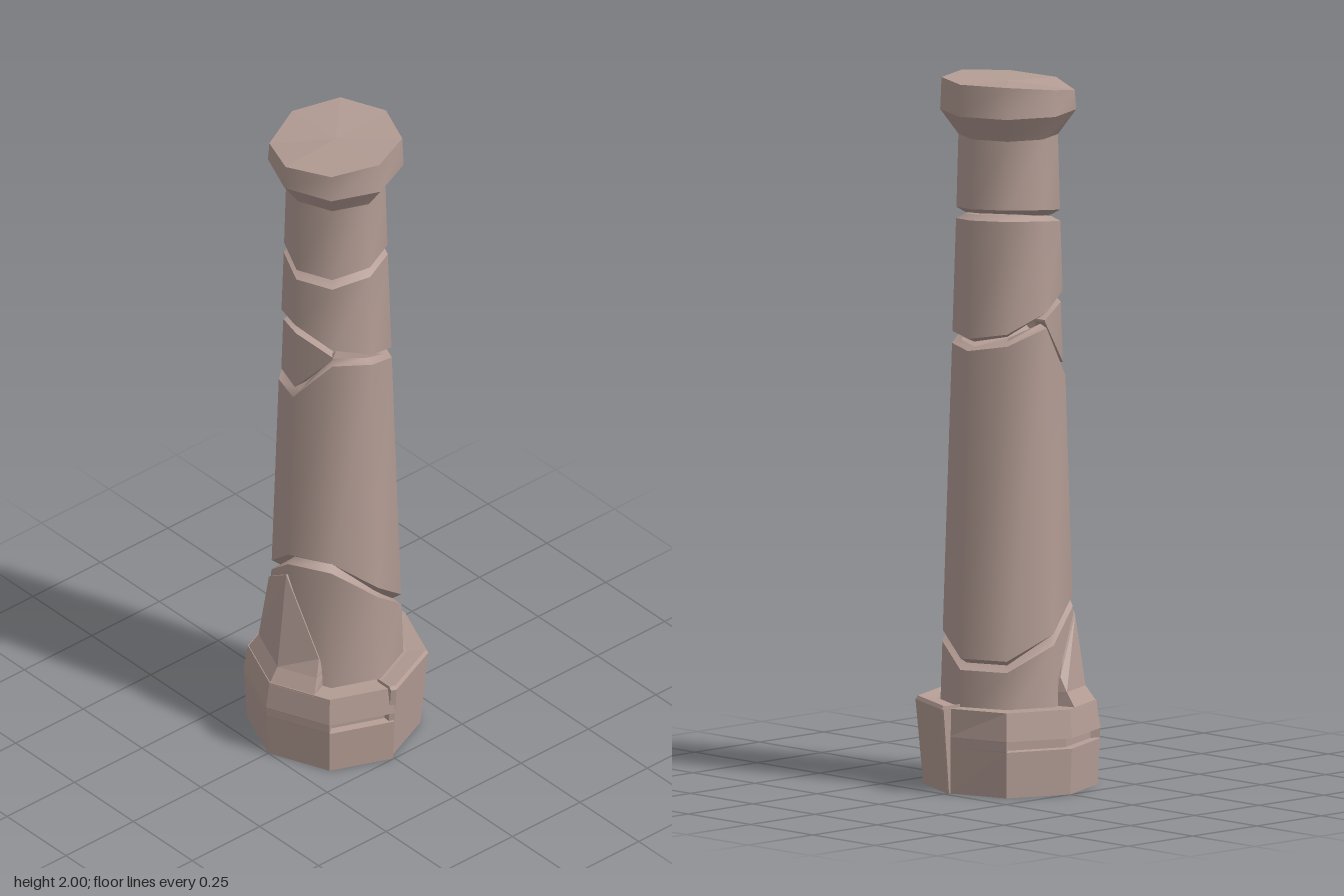
import * as THREE from 'three';
import { mergeGeometries } from 'three/addons/utils/BufferGeometryUtils.js';

const EIGHT = [0, 1, 2, 3, 4, 5, 6, 7];
const stone = new THREE.MeshStandardMaterial({ color: 0xb39c94, side: THREE.DoubleSide });
const at = (v, i) => (Array.isArray(v) ? v[i] : v);

// Points of an octagonal ring; ks are positions in eighths of a turn from +x towards +z.
function ring(r, y, ks = EIGHT) {
  return ks.map((k, i) => {
    const a = (k * Math.PI) / 4;
    const off = (k - Math.floor(k) - 0.5) * (Math.PI / 4);
    const rad = (at(r, i) * Math.cos(Math.PI / 8)) / Math.cos(off);
    return new THREE.Vector3(rad * Math.cos(a), at(y, i), rad * Math.sin(a));
  });
}

// One strip between two rings, smooth around and sharp at its edges.
function band(a, b, closed, flat) {
  const n = a.length;
  const index = [];
  for (let i = 0; i < (closed ? n : n - 1); i++) {
    const j = (i + 1) % n;
    index.push(i, n + i, j, j, n + i, n + j);
  }
  let g = new THREE.BufferGeometry().setFromPoints([...a, ...b]);
  g.setIndex(index);
  if (flat) g = g.toNonIndexed();
  g.computeVertexNormals();
  return g.index ? g.toNonIndexed() : g;
}

// Fan that closes a ring.
function cap(pts, up) {
  const c = new THREE.Vector3(0, pts.reduce((s, p) => s + p.y, 0) / pts.length, 0);
  const tris = [];
  pts.forEach((p, i) => {
    const q = pts[(i + 1) % pts.length];
    tris.push(...(up ? [c, q, p] : [c, p, q]));
  });
  const g = new THREE.BufferGeometry().setFromPoints(tris);
  g.computeVertexNormals();
  return g;
}

function stack(name, rings, { closed = true, flat = false, bottom = false, top = false } = {}) {
  const parts = rings.slice(1).map((r, i) => band(rings[i], r, closed, flat));
  if (bottom) parts.push(cap(rings[0], false));
  if (top) parts.push(cap(rings[rings.length - 1], true));
  const mesh = new THREE.Mesh(mergeGeometries(parts), stone);
  mesh.name = name;
  return mesh;
}

// Tapered shaft radius by height.
const shaftR = (y) => 0.187 - 0.0318 * (y - 0.3);
const shaftRing = (ys, dy = 0, inset = 0) =>
  ring(ys.map((y) => shaftR(y + dy) - inset), ys.map((y) => y + dy));

const GAP = 0.016;
const INSET = 0.025;
// Rings for a broken end: the stone tapers into the middle of the crack.
const lowerEnd = (ys, gap = GAP) => [shaftRing(ys, 0.002, INSET), shaftRing(ys, gap)];
const upperEnd = (ys, gap = GAP) => [shaftRing(ys, -gap), shaftRing(ys, -0.002, INSET)];

export function createModel() {
  const model = new THREE.Group();
  model.name = 'brokenColumn';
  const closedEnds = { bottom: true, top: true };

  // Crack heights at the eight corners
  const crackLow = [0.36, 0.42, 0.53, 0.64, 0.63, 0.52, 0.43, 0.36];
  const crackDip = [1.255, 1.26, 1.31, 1.33, 1.19, 1.17, 1.32, 1.275];
  const crackMid = [1.265, 1.27, 1.32, 1.36, 1.41, 1.385, 1.34, 1.285];
  const crackHigh = [1.627, 1.617, 1.61, 1.592, 1.592, 1.61, 1.625, 1.63];

  // Shaft drums
  model.add(stack('lowerDrum', [shaftRing(Array(8).fill(0.2)), ...upperEnd(crackLow)], closedEnds));
  model.add(stack('mainDrum', [...lowerEnd(crackLow), ...upperEnd(crackDip, 0.012)], closedEnds));
  model.add(stack('upperDrum', [...lowerEnd(crackMid, 0.012), ...upperEnd(crackHigh)], closedEnds));

  // Loose chip wedged below the middle crack
  const chipKs = [3, 4, 5, 6];
  const chipLow = [1.335, 1.21, 1.195, 1.325];
  const chipHigh = [1.345, 1.39, 1.365, 1.33];
  const chipRing = (ys, inset) => ring(ys.map((y) => shaftR(y) - inset), ys, chipKs);
  model.add(stack('shaftChip', [
    chipRing(chipLow, 0.05), chipRing(chipLow, 0.006),
    chipRing(chipHigh, 0.006), chipRing(chipHigh, 0.05),
  ], { closed: false }));

  // Neck and flared capital with a worn top
  model.add(stack('capital', [
    ...lowerEnd(crackHigh),
    ring(0.139, 1.84),
    ring(0.19, 1.91),
    ring(0.186, [2, 2, 2, 1.99, 1.98, 1.965, 1.985, 2]),
  ], closedEnds));

  // Base moulding with a horizontal crack, hollow underneath
  const baseKs = [0, 1, 2, 2.02, 2.98, 3, 4, 5, 5.02, 6, 6.98, 7];
  const cracked = [2.02, 2.98, 5.02, 6, 6.98];
  const baseRing = (r, y) => ring(baseKs.map((k) => (k <= 2 ? Math.min(r, 0.232) : r)), y, baseKs);
  const grooveRing = (y) =>
    ring(baseKs.map((k) => (k <= 2 ? 0.232 : cracked.includes(k) ? 0.232 : 0.257)), y, baseKs);
  model.add(stack('base', [
    baseRing(0.25, 0), baseRing(0.256, 0.13), grooveRing(0.132),
    grooveRing(0.158), baseRing(0.258, 0.16), baseRing(0.246, 0.24), baseRing(0.18, 0.24),
  ], { flat: true }));

  // Base slab leaning outwards at the front right
  const slabKs = [-0.06, -0.03, 0, 1, 2, 2.08, 2.1];
  const slabRing = (r, y) =>
    ring(slabKs.map((k, i) => (i === 0 || i === 6 ? 0.2 : r)), y, slabKs);
  model.add(stack('leaningSlab', [
    slabRing(0.2, 0), slabRing(0.237, 0), slabRing(0.259, 0.24), slabRing(0.252, 0.25), slabRing(0.2, 0.243),
  ], { closed: false, flat: true }));

  // Sloped spur between base and shaft at the back left
  const spurKs = [3.15, 3.25, 4, 5, 5.8, 5.9];
  const spurRing = (r, y) =>
    ring(spurKs.map((k, i) => (i === 0 || i === 5 ? 0.17 : at(r, i))), y, spurKs);
  const spurTop = [0.3, 0.33, 0.58, 0.48, 0.32, 0.3];
  model.add(stack('spur', [
    spurRing(0.247, 0.235),
    spurRing(0.216, 0.28),
    spurRing(spurTop.map((y) => shaftR(y) + 0.006), spurTop),
    spurRing(0.165, spurTop),
  ], { closed: false, flat: true }));

  return model;
}
